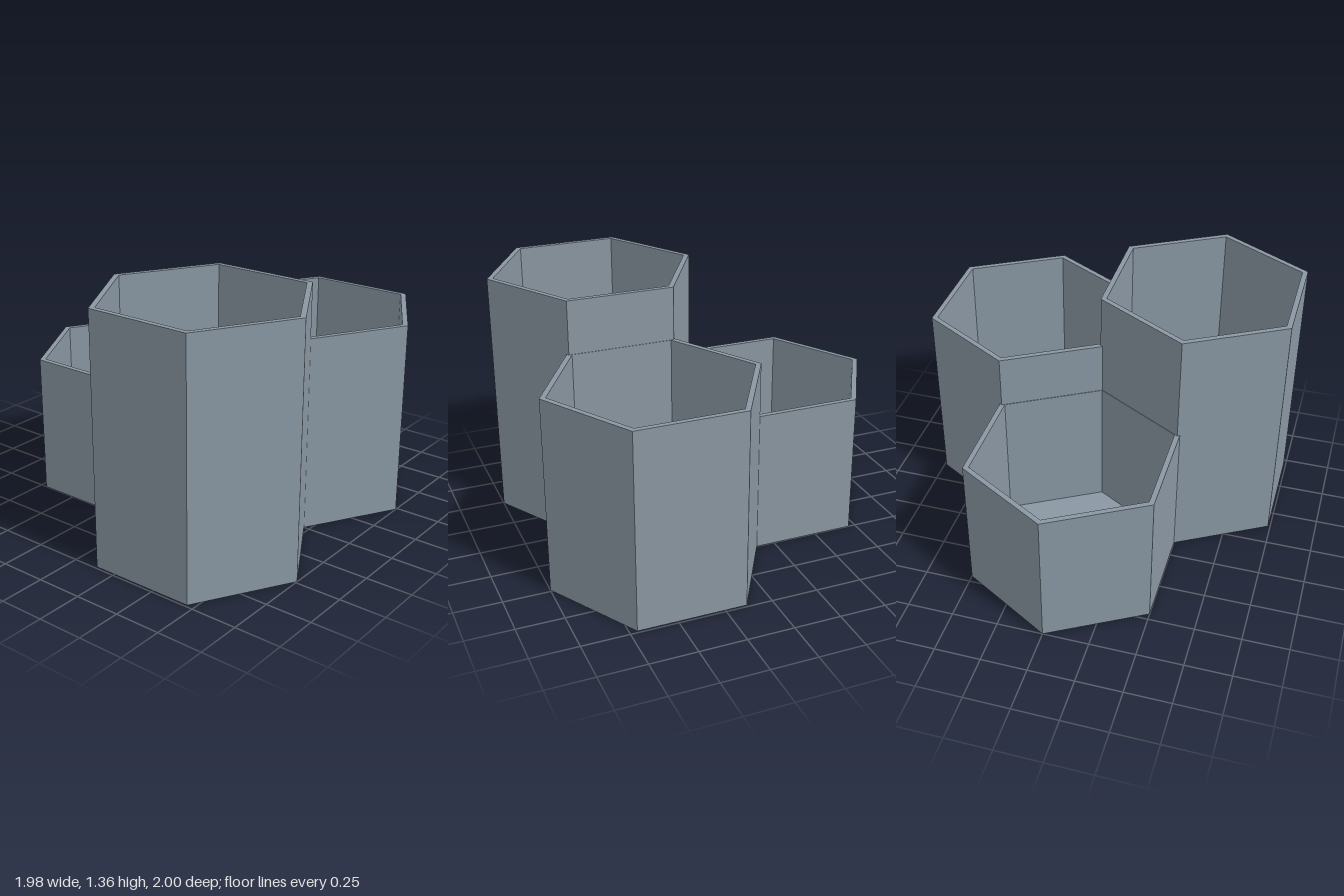
import * as THREE from 'three';

const PITCH = 0.975;   // distance between cell centres
const APOTHEM = 0.5;   // outer centre-to-side distance
const WALL = 0.028;
const FLOOR = 0.03;
const toCorner = (apothem) => apothem / Math.cos(Math.PI / 6);

// Open hexagonal cup: one closed profile turned in six steps, with flat sides
function hexCup(height) {
  const outer = toCorner(APOTHEM);
  const inner = toCorner(APOTHEM - WALL);
  const profile = [
    [0, 0], [outer, 0], [outer, height], [inner, height], [inner, FLOOR], [0, FLOOR],
  ].map(([r, y]) => new THREE.Vector2(r, y));
  const geometry = new THREE.LatheGeometry(profile, 6).toNonIndexed();
  geometry.computeVertexNormals();
  return geometry;
}

export function createModel() {
  const group = new THREE.Group();
  group.name = 'hexagonOrganizer';
  const slate = new THREE.MeshStandardMaterial({ color: 0x8a98a3 });
  slate.name = 'slate grey';

  // Three cups of stepped height whose shared walls overlap
  const z = PITCH * Math.sqrt(3) / 4;
  const cups = [
    ['tallCup', -PITCH / 2, z, 1.355],
    ['mediumCup', PITCH / 2, z, 1.063],
    ['shortCup', 0, -z, 0.773],
  ];
  for (const [name, x, cz, height] of cups) {
    const cup = new THREE.Mesh(hexCup(height), slate);
    cup.name = name;
    cup.position.set(x, 0, cz);
    group.add(cup);
  }
  return group;
}
